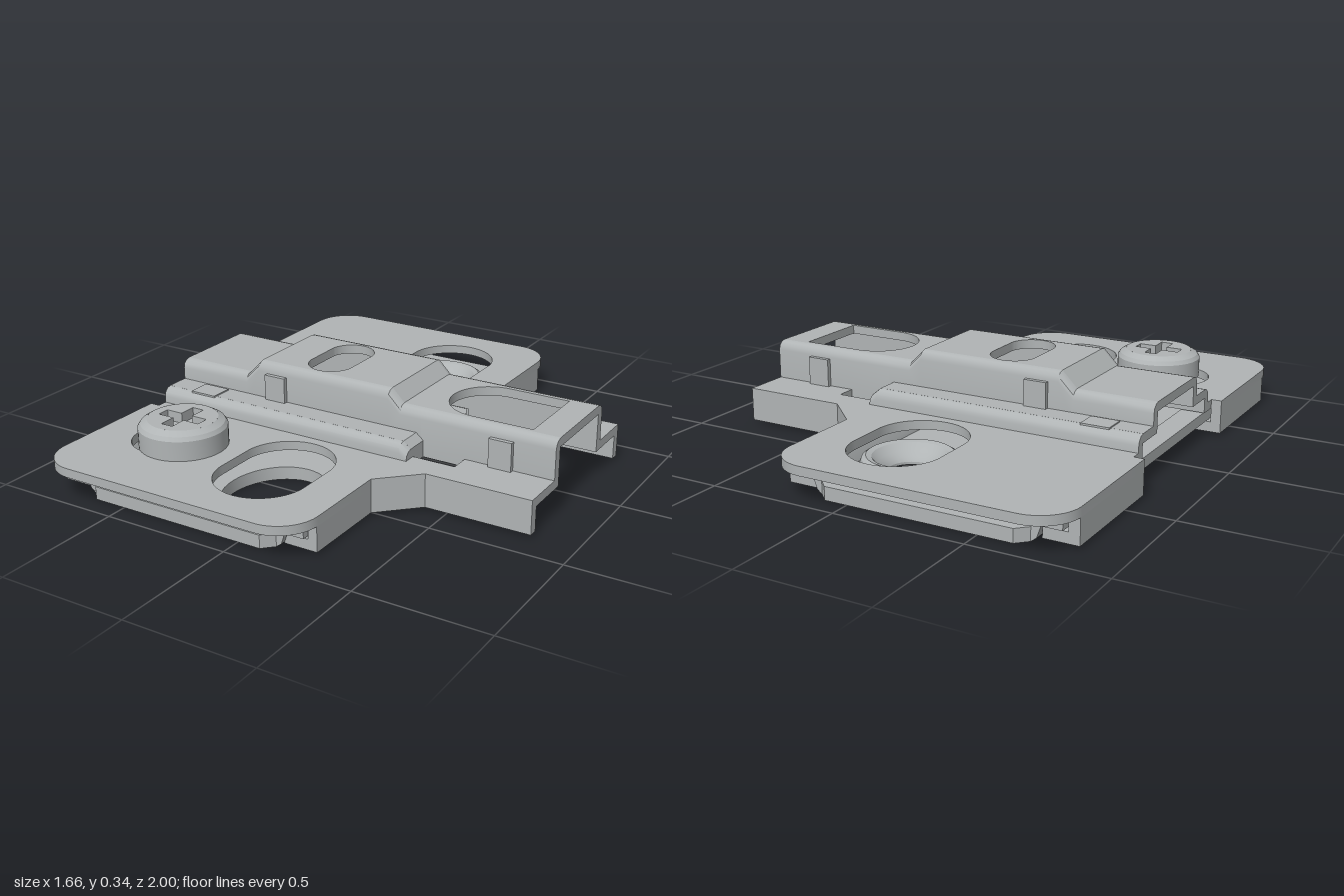
import * as THREE from 'three';
import { toCreasedNormals } from 'three/addons/utils/BufferGeometryUtils.js';

const steel = new THREE.MeshStandardMaterial({ color: 0xb0b4b5 });
steel.name = 'satin steel';

export function createModel() {
  const model = new THREE.Group();
  model.name = 'mountingPlate';

  const add = (name, geo, crease = 0.6) => {
    const mesh = new THREE.Mesh(toCreasedNormals(geo, crease), steel);
    mesh.name = name;
    model.add(mesh);
    return mesh;
  };
  const box = (name, x0, x1, y0, y1, z0, z1) => add(name,
    new THREE.BoxGeometry(x1 - x0, y1 - y0, Math.abs(z1 - z0))
      .translate((x0 + x1) / 2, (y0 + y1) / 2, (z0 + z1) / 2));
  const poly = pts => new THREE.Shape(pts.map(([x, y]) => new THREE.Vector2(x, y)));
  const oval = (x, z, rx, rz) => new THREE.Path().absellipse(x, z, rx, rz, 0, Math.PI * 2);
  // stadium-shaped opening, long along x (dx) or z (dz)
  const slot = (x, z, r, dx, dz) => {
    const p = new THREE.Path(), t = dx ? -Math.PI / 2 : 0;
    p.absarc(x + dx, z + dz, r, t, t + Math.PI);
    p.absarc(x - dx, z - dz, r, t + Math.PI, t + Math.PI * 2);
    p.closePath();
    return p;
  };
  // horizontal sheet from an x-z outline
  const sheet = (name, shape, y0, y1) => add(name,
    new THREE.ExtrudeGeometry(shape, { depth: y1 - y0, bevelEnabled: false, curveSegments: 20 })
      .rotateX(Math.PI / 2).translate(0, y1, 0));
  // wall running along x with a rounded outer top edge; stations are [x, top, bottom]
  const rail = (name, stations, zIn, zOut, s) => {
    const w = zOut - zIn, pos = [], idx = [], n = 6;
    for (const [x, t, b] of stations) {
      for (const [z, y] of [[zOut, b], [zOut, t - w], [zIn + w * 0.87, t - w * 0.5],
        [zIn + w * 0.5, t - w * 0.13], [zIn, t], [zIn, b]]) pos.push(x, y, z * s);
    }
    const tri = (a, b, c) => (s > 0 ? idx.push(a, b, c) : idx.push(a, c, b));
    for (let k = 0; k < stations.length - 1; k++) {
      for (let i = 0; i < n; i++) {
        const a = k * n + i, d = k * n + (i + 1) % n;
        tri(a, a + n, d + n);
        tri(a, d + n, d);
      }
    }
    const last = (stations.length - 1) * n;
    for (let i = 1; i < n - 1; i++) {
      tri(0, i, i + 1);
      tri(last, last + i + 1, last + i);
    }
    const g = new THREE.BufferGeometry();
    g.setAttribute('position', new THREE.Float32BufferAttribute(pos, 3));
    g.setIndex(idx);
    return add(name, g);
  };
  const lathe = (name, pts, x, z) => add(name,
    new THREE.LatheGeometry(pts.map(([r, y]) => new THREE.Vector2(r, y)), 48).translate(x, 0, z), 0.4);

  const hat = [[-0.79, 0.28, 0.165], [-0.48, 0.28, 0.165], [-0.42, 0.34, 0.165], [0.16, 0.34, 0.165],
    [0.21, 0.29, 0.165], [0.3, 0.29, 0.165], [0.3, 0.29, 0.11], [0.83, 0.29, 0.11]];

  for (const s of [1, -1]) {
    // upper wing with its adjusting slot
    const wing = new THREE.Shape();
    wing.moveTo(-0.83, 0.37 * s);
    wing.lineTo(-0.83, 0.85 * s);
    wing.bezierCurveTo(-0.83, 0.933 * s, -0.763, s, -0.68, s);
    wing.lineTo(0.13, s);
    wing.bezierCurveTo(0.213, s, 0.28, 0.933 * s, 0.28, 0.85 * s);
    for (const [x, z] of [[0.28, 0.52], [0.42, 0.385], [0.83, 0.385], [0.83, 0.17], [0.48, 0.17],
      [0.48, 0.28], [0.31, 0.28], [0.31, 0.3], [-0.79, 0.3], [-0.79, 0.37]]) wing.lineTo(x, z * s);
    wing.holes.push(slot(-0.055, 0.62 * s, 0.175, 0, 0.075));
    if (s > 0) wing.holes.push(slot(-0.51, 0.61, 0.135, 0.035, 0));
    sheet('wing', wing, 0.105, 0.14);

    // folded skirt and the hooked feet
    sheet('skirt', poly([[0.28, 0.86], [0.28, 0.52], [0.42, 0.385], [0.83, 0.385], [0.83, 0.35],
      [0.405, 0.35], [0.245, 0.505], [0.245, 0.86]].map(([x, z]) => [x, z * s])), 0.01, 0.106);
    box('rightFoot', 0.15, 0.25, 0.01, 0.05, 0.53 * s, 0.86 * s);
    box('leftSkirt', -0.83, -0.79, 0.01, 0.106, 0.37 * s, 0.86 * s);
    box('leftFoot', -0.795, -0.7, 0.01, 0.05, 0.37 * s, 0.86 * s);

    // channel walls and the lower shoulder beside them
    rail('channelWall', hat, 0.17, 0.205, s);
    rail('shoulderWall', [[-0.79, 0.2, 0.11], [0.28, 0.2, 0.11], [0.31, 0.175, 0.11]], 0.295, 0.33, s);
    box('shoulderTop', -0.79, 0.28, 0.165, 0.2, 0.2 * s, 0.296 * s);
    box('shoulderEnd', 0.275, 0.31, 0.11, 0.175, 0.2 * s, 0.3 * s);
    add('shoulderEndBevel', new THREE.ExtrudeGeometry(
      poly([[0.28, 0.17], [0.31, 0.17], [0.31, 0.175], [0.28, 0.2]]),
      { depth: 0.096, bevelEnabled: false }).translate(0, 0, s > 0 ? 0.2 : -0.296));

    // pressed pads
    box('shoulderPad', -0.67, -0.56, 0.198, 0.205, 0.22 * s, 0.31 * s);
    box('innerTab', -0.38, -0.29, 0.2, 0.3, 0.2 * s, 0.222 * s);
    box('outerTab', 0.58, 0.67, 0.14, 0.25, 0.2 * s, 0.222 * s);
  }

  // channel roof: three levels joined by slopes
  const roof = (x0, x1) => poly([[x0, -0.17], [x1, -0.17], [x1, 0.17], [x0, 0.17]]);
  sheet('lowRoof', roof(-0.79, -0.48), 0.245, 0.28);
  const high = roof(-0.42, 0.16);
  high.holes.push(slot(-0.17, 0, 0.09, 0, 0.07));
  sheet('highRoof', high, 0.305, 0.34);
  const end = roof(0.21, 0.83);
  const opening = new THREE.Path();
  opening.moveTo(0.72, -0.155);
  opening.lineTo(0.72, 0.155);
  opening.lineTo(0.48, 0.155);
  opening.absarc(0.48, 0, 0.155, Math.PI / 2, Math.PI * 1.5);
  opening.closePath();
  end.holes.push(opening);
  sheet('endRoof', end, 0.255, 0.29);
  for (const [x0, y0, x1, y1] of [[-0.48, 0.28, -0.42, 0.34], [0.16, 0.34, 0.21, 0.29]]) {
    add('roofSlope', new THREE.ExtrudeGeometry(
      poly([[x0, y0 - 0.035], [x1, y1 - 0.035], [x1, y1], [x0, y0]]),
      { depth: 0.34, bevelEnabled: false }).translate(0, 0, -0.17));
  }

  // base pan with screw holes
  const pan = poly([[-0.63, -0.92], [0.09, -0.92], [0.13, -0.88], [0.13, 0.88],
    [0.09, 0.92], [-0.63, 0.92], [-0.67, 0.88], [-0.67, -0.88]]);
  pan.holes.push(oval(-0.06, -0.62, 0.185, 0.185), oval(-0.06, 0.62, 0.18, 0.215),
    oval(-0.17, 0, 0.09, 0.09), oval(-0.47, 0.61, 0.06, 0.06));
  sheet('basePan', pan, 0, 0.05);
  // raised rims of the pan held by the feet
  for (const s of [1, -1]) {
    const rim = [[0.4, 0], [0.42, 0.015], [0.435, 0.058], [0.51, 0.058], [0.51, 0.1], [0.42, 0.1], [0.4, 0.05]];
    add('panRim', new THREE.ExtrudeGeometry(poly(rim.map(([x, y]) => [-0.27 + x * s, y])),
      { depth: 1.76, bevelEnabled: false }).translate(0, 0, -0.88));
  }

  // countersunk collar
  lathe('countersink', [[0.16, 0], [0.186, 0], [0.186, 0.05], [0.17, 0.09], [0.155, 0.1], [0.135, 0.095],
    [0.11, 0.07], [0.09, 0.055], [0.08, 0.04], [0.08, 0.03], [0.13, 0.03], [0.16, 0]], -0.06, -0.62);

  // adjusting screw with a cross recess
  lathe('screwBody', [[0, 0.05], [0.13, 0.05], [0.13, 0.14], [0.165, 0.14], [0.165, 0.215],
    [0.155, 0.23], [0.13, 0.245], [0.13, 0.205], [0, 0.205]], -0.47, 0.61);
  lathe('screwTip', [[0.03, 0.01], [0.05, 0.01], [0.05, 0.06], [0.03, 0.06], [0.03, 0.01]], -0.47, 0.61);
  const face = new THREE.Shape().absarc(-0.47, 0.61, 0.13, 0, Math.PI * 2);
  const a = 0.09, b = 0.024;
  face.holes.push(poly([[a, -b], [a, b], [b, b], [b, a], [-b, a], [-b, b], [-a, b], [-a, -b],
    [-b, -b], [-b, -a], [b, -a], [b, -b]].map(([x, z]) => [x - 0.47, z + 0.61])));
  sheet('screwFace', face, 0.205, 0.245);

  return model;
}
